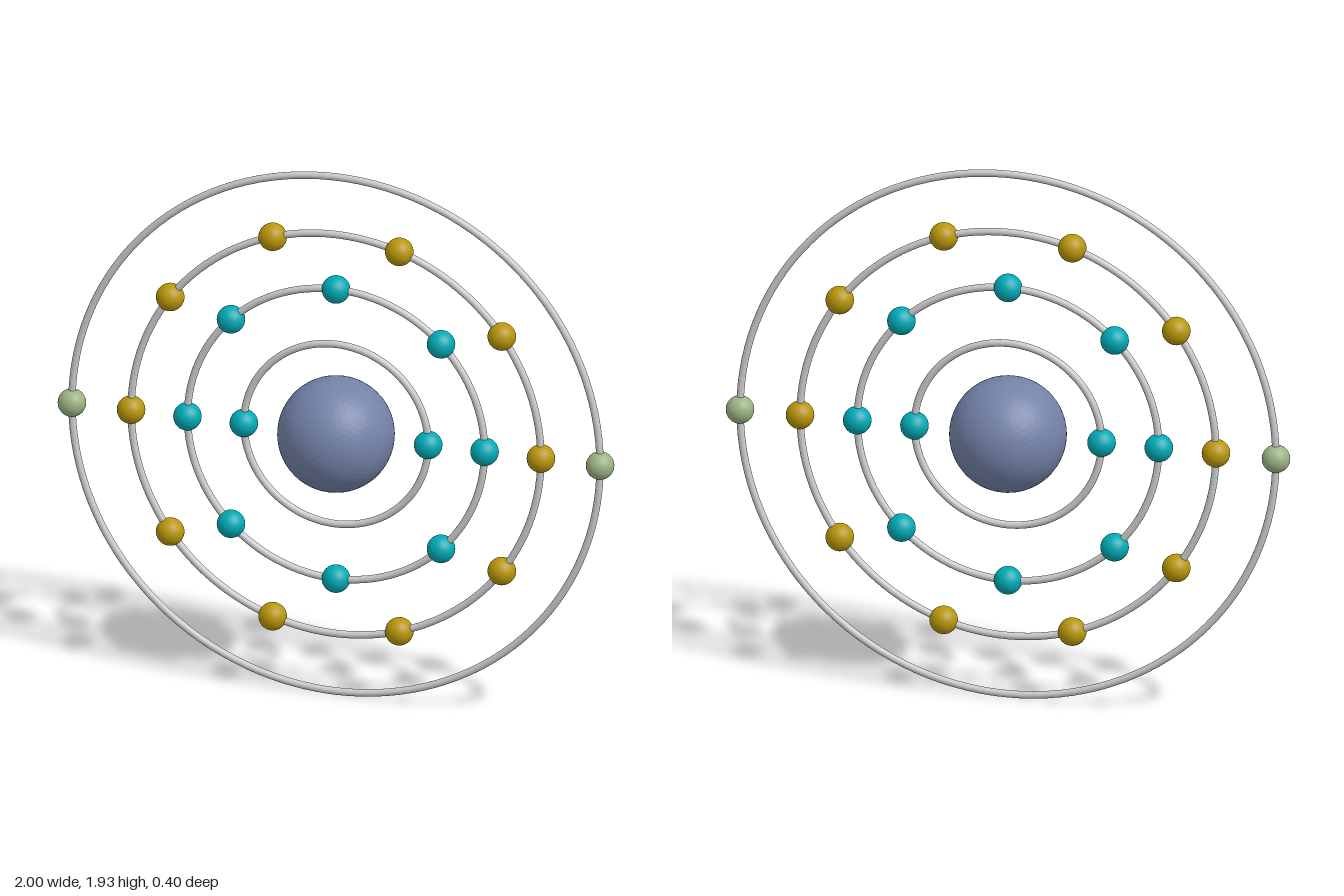
import * as THREE from 'three';

const CENTER_Y = 0.964;
const TUBE = 0.0127;
const BALL = 0.049;

// Concentric shells: ring radius, number of evenly spaced balls, ball colour
const SHELLS = [
  { radius: 0.332, count: 2, color: 0x00a9b5 },
  { radius: 0.535, count: 8, color: 0x00a9b5 },
  { radius: 0.738, count: 10, color: 0xb8960a },
  { radius: 0.951, count: 2, color: 0x9cb385 },
];

function addMesh(parent, name, geometry, material) {
  const mesh = new THREE.Mesh(geometry, material);
  mesh.name = name;
  parent.add(mesh);
  return mesh;
}

export function createModel() {
  const model = new THREE.Group();
  model.name = 'atomModel';

  const atom = new THREE.Group();
  atom.name = 'atom';
  atom.position.y = CENTER_Y;
  model.add(atom);

  // Finely faceted central ball
  addMesh(atom, 'nucleus', new THREE.IcosahedronGeometry(0.202, 9),
    new THREE.MeshStandardMaterial({ color: 0x7482a8, flatShading: true }));

  const ringMaterial = new THREE.MeshStandardMaterial({ color: 0xcccccc });
  const ballGeometry = new THREE.SphereGeometry(BALL, 32, 20);

  // Each shell is an upright ring with its balls threaded on it
  SHELLS.forEach(({ radius, count, color }, i) => {
    const shell = new THREE.Group();
    shell.name = `shell${i + 1}`;
    atom.add(shell);

    addMesh(shell, 'orbitRing', new THREE.TorusGeometry(radius, TUBE, 16, 128), ringMaterial);

    const ballMaterial = new THREE.MeshStandardMaterial({ color });
    for (let k = 0; k < count; k++) {
      const a = (k / count) * Math.PI * 2;
      addMesh(shell, `electron${k + 1}`, ballGeometry, ballMaterial)
        .position.set(radius * Math.cos(a), radius * Math.sin(a), 0);
    }
  });

  return model;
}
